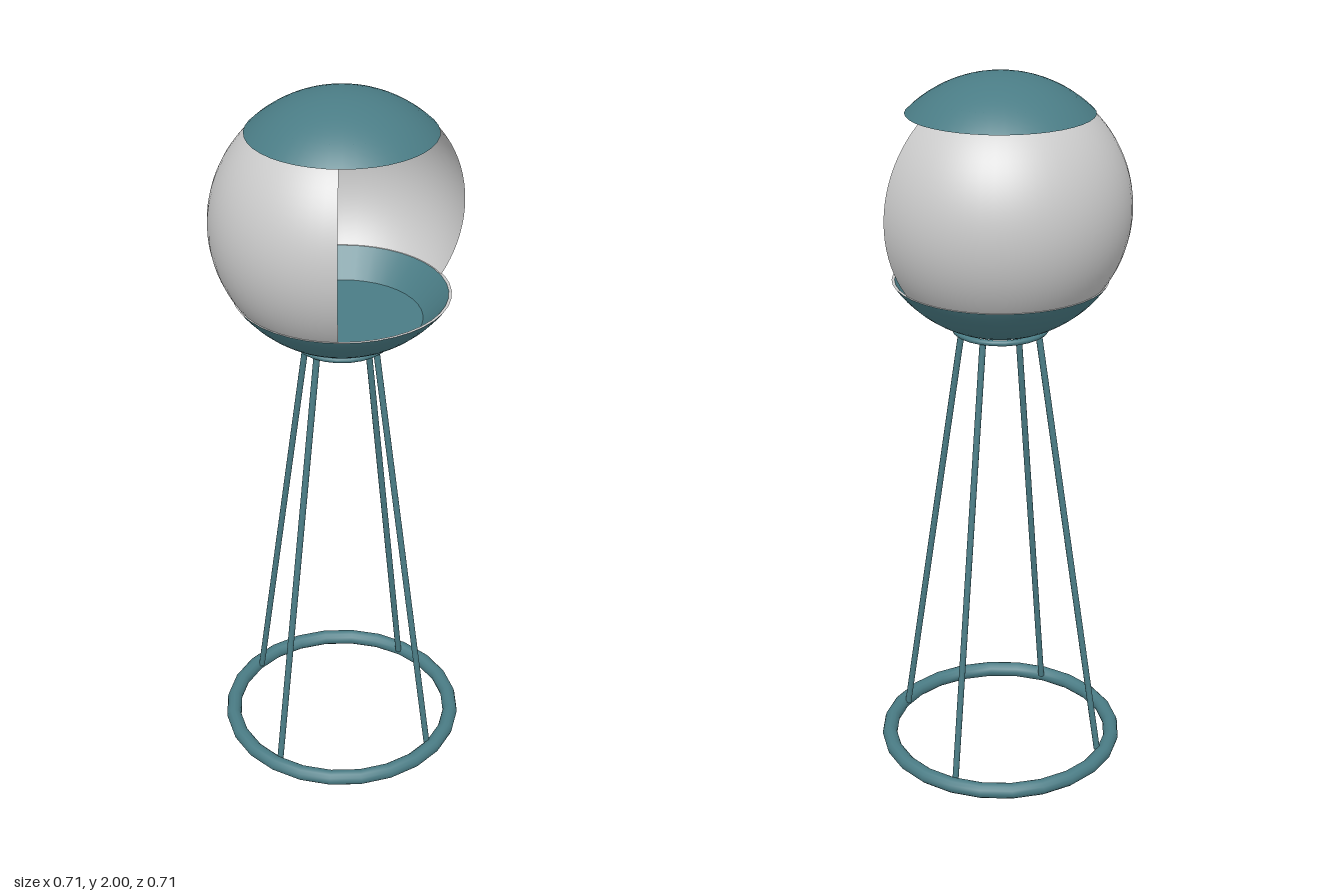
import * as THREE from 'three';

export function createModel() {
  const model = new THREE.Group();
  const teal = new THREE.MeshStandardMaterial({ color: 0x4a7c85, side: THREE.DoubleSide });
  const grey = new THREE.MeshStandardMaterial({ color: 0xcccccc, side: THREE.DoubleSide });
  const centreY = 1.645, R = 0.355;

  function add(name, geometry, material, y = 0) {
    const mesh = new THREE.Mesh(geometry, material);
    mesh.name = name;
    mesh.position.y = y;
    model.add(mesh);
    return mesh;
  }
  function flatRing(name, inner, outer, y, material) {
    add(name, new THREE.RingGeometry(inner, outer, 40).rotateX(-Math.PI / 2), material, y);
  }
  function hoop(name, radius, tube, y) {
    add(name, new THREE.TorusGeometry(radius, tube, 12, 24).rotateX(Math.PI / 2), teal, y);
  }
  // polar angle and radius of the globe at a given height
  const polar = y => Math.acos((y - centreY) / R);
  const radiusAt = y => R * Math.sin(polar(y));

  const capY = 1.897, bowlY = 1.445, floorY = 1.37, ceilingY = 1.94;

  // Domed roof with a shallow recess underneath
  add('roofCap', new THREE.SphereGeometry(R, 40, 12, 0, Math.PI * 2, 0, polar(capY)), teal, centreY);
  add('roofCeiling', new THREE.CircleGeometry(radiusAt(ceilingY), 40).rotateX(Math.PI / 2), teal, ceilingY);

  // Bowl with a thin rim, sloping inner wall and floor
  const a = polar(bowlY);
  add('bowl', new THREE.SphereGeometry(R, 40, 14, 0, Math.PI * 2, a, Math.PI - a), teal, centreY);
  const rim = radiusAt(bowlY);
  flatRing('bowlRim', rim - 0.008, rim, bowlY, grey);
  add('bowlInnerWall', new THREE.CylinderGeometry(rim - 0.008, radiusAt(floorY) - 0.006,
    bowlY - floorY, 40, 1, true), teal, (bowlY + floorY) / 2);
  add('bowlFloor', new THREE.CircleGeometry(radiusAt(floorY) - 0.006, 40).rotateX(-Math.PI / 2), teal, floorY);

  // Curved wall, open towards +x
  const halfOpening = 0.98, shellR = 0.351;
  const t0 = Math.acos((capY - centreY) / shellR), t1 = Math.acos((bowlY - centreY) / shellR);
  add('curvedWall', new THREE.SphereGeometry(shellR, 40, 20, Math.PI + halfOpening,
    2 * (Math.PI - halfOpening), t0, t1 - t0), grey, centreY);

  // Stand: hoops and four leaning legs
  hoop('baseRing', 0.333, 0.022, 0.023);
  hoop('collarRing', 0.126, 0.008, 1.304);
  const foot = new THREE.Vector3(0.312, 0.03, 0), top = new THREE.Vector3(0.113, 1.305, 0);
  const slope = top.clone().sub(foot);
  for (let i = 0; i < 4; i++) {
    const pivot = new THREE.Group();
    pivot.name = 'leg' + (i + 1);
    pivot.rotation.y = i * Math.PI / 2;
    const rod = new THREE.Mesh(new THREE.CylinderGeometry(0.009, 0.009, slope.length(), 10), teal);
    rod.name = 'legRod';
    rod.position.copy(foot).add(top).multiplyScalar(0.5);
    rod.quaternion.setFromUnitVectors(new THREE.Vector3(0, 1, 0), slope.clone().normalize());
    pivot.add(rod);
    model.add(pivot);
  }
  return model;
}
